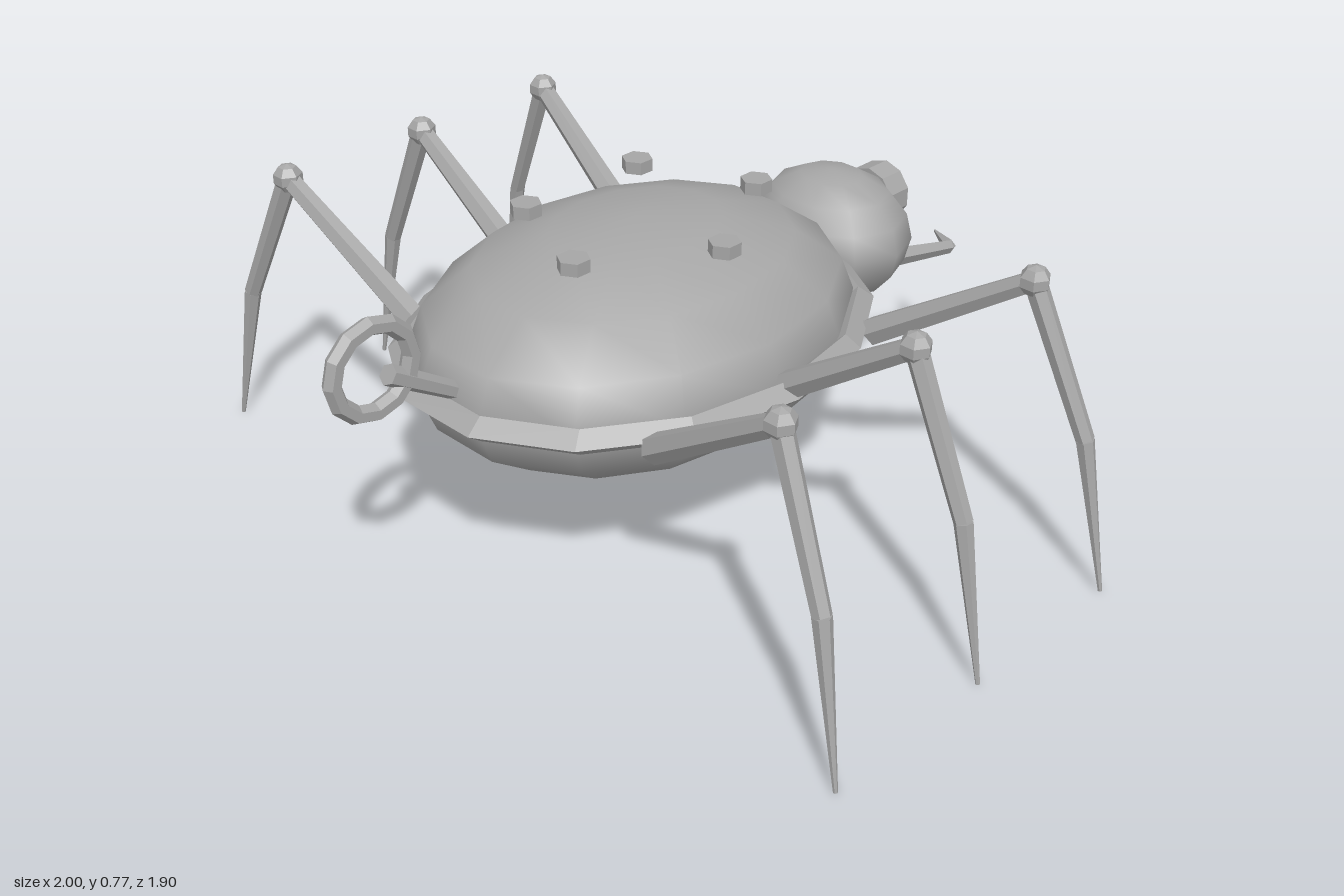
import * as THREE from 'three';

const steel = new THREE.MeshStandardMaterial({ color: 0xa6a6a6 });
steel.name = 'steel';
const amber = new THREE.MeshStandardMaterial({ color: 0xc39a3c });
amber.name = 'amber';

const V = (x, y, z) => new THREE.Vector3(x, y, z);

// Facet a geometry by giving every face its own normals
function faceted(geometry) {
  const g = geometry.toNonIndexed();
  g.computeVertexNormals();
  return g;
}

function add(parent, name, geometry, material = steel) {
  const mesh = new THREE.Mesh(geometry, material);
  mesh.name = name;
  parent.add(mesh);
  return mesh;
}

// Tapered rod between two points
function rod(parent, name, a, b, ra, rb, sides = 6) {
  const dir = b.clone().sub(a);
  const mesh = add(parent, name, faceted(new THREE.CylinderGeometry(rb, ra, dir.length(), sides)));
  mesh.position.copy(a).add(b).multiplyScalar(0.5);
  mesh.quaternion.setFromUnitVectors(V(0, 1, 0), dir.normalize());
  return mesh;
}

// Smooth, coarse ellipsoid
function ellipsoid(parent, name, centre, radii, around, up) {
  const g = new THREE.SphereGeometry(1, around, up);
  g.scale(...radii);
  add(parent, name, g).position.copy(centre);
}

function leg(side, hip, knee, shin, foot) {
  const g = new THREE.Group();
  g.name = side > 0 ? 'leftLeg' : 'rightLeg';
  const [h, k, s, f] = [hip, knee, shin, foot].map(([x, y, z]) => V(x * side, y, z));
  rod(g, 'thigh', h, k, 0.034, 0.024);
  add(g, 'kneeJoint', faceted(new THREE.SphereGeometry(0.036, 6, 5))).position.copy(k);
  rod(g, 'shin', k, s, 0.025, 0.021);
  rod(g, 'foot', s, f, 0.021, 0.005);
  return g;
}

export function createModel() {
  const model = new THREE.Group();
  model.name = 'clockworkBeetle';

  // Body and head
  ellipsoid(model, 'body', V(0, 0.477, 0.1), [0.44, 0.267, 0.57], 14, 8);
  ellipsoid(model, 'head', V(0, 0.477, -0.57), [0.215, 0.166, 0.185], 10, 8);

  // Diamond-section rim around the waist
  const rim = new THREE.TorusGeometry(0.455, 0.034, 4, 14);
  rim.rotateX(Math.PI / 2);
  rim.scale(1, 0.9, 1.235);
  add(model, 'rim', faceted(rim)).position.set(0, 0.477, 0.1);

  // Single eye
  const socket = new THREE.CylinderGeometry(0.077, 0.077, 0.07, 10);
  socket.rotateX(Math.PI / 2);
  add(model, 'eyeSocket', faceted(socket)).position.set(0, 0.52, -0.75);
  const lens = new THREE.CylinderGeometry(0.048, 0.048, 0.03, 10);
  lens.rotateX(Math.PI / 2);
  add(model, 'eyeLens', faceted(lens), amber).position.set(0, 0.52, -0.785);

  // Mandibles and three legs on each side
  for (const side of [1, -1]) {
    const elbow = V(0.152 * side, 0.378, -0.87);
    rod(model, 'mandible', V(0.12 * side, 0.41, -0.66), elbow, 0.026, 0.018, 5);
    rod(model, 'mandibleTip', elbow, V(0.05 * side, 0.362, -0.945), 0.018, 0.003, 5);

    model.add(
      leg(side, [0.39, 0.46, -0.265], [0.77, 0.71, -0.315], [0.92, 0.37, -0.342], [0.995, 0.002, -0.358]),
      leg(side, [0.44, 0.485, 0.083], [0.77, 0.71, 0.085], [0.92, 0.37, 0.088], [0.995, 0.002, 0.092]),
      leg(side, [0.39, 0.46, 0.432], [0.77, 0.71, 0.482], [0.92, 0.37, 0.52], [0.995, 0.002, 0.545]));
  }

  // Hex bolts on the back
  const bolt = faceted(new THREE.CylinderGeometry(0.037, 0.037, 0.03, 6));
  for (const [x, z] of [[0.075, -0.21], [-0.2, -0.1], [0.245, 0.075], [-0.2, 0.245], [0.075, 0.355]]) {
    add(model, 'bolt', bolt).position.set(x, 0.742, z);
  }

  // Winding key at the tail
  rod(model, 'keyStem', V(0, 0.5, 0.6), V(0, 0.625, 0.795), 0.02, 0.024);
  const ring = new THREE.TorusGeometry(0.098, 0.021, 6, 12);
  ring.rotateY(Math.PI / 2);
  add(model, 'keyRing', faceted(ring)).position.set(0, 0.652, 0.832);

  return model;
}
